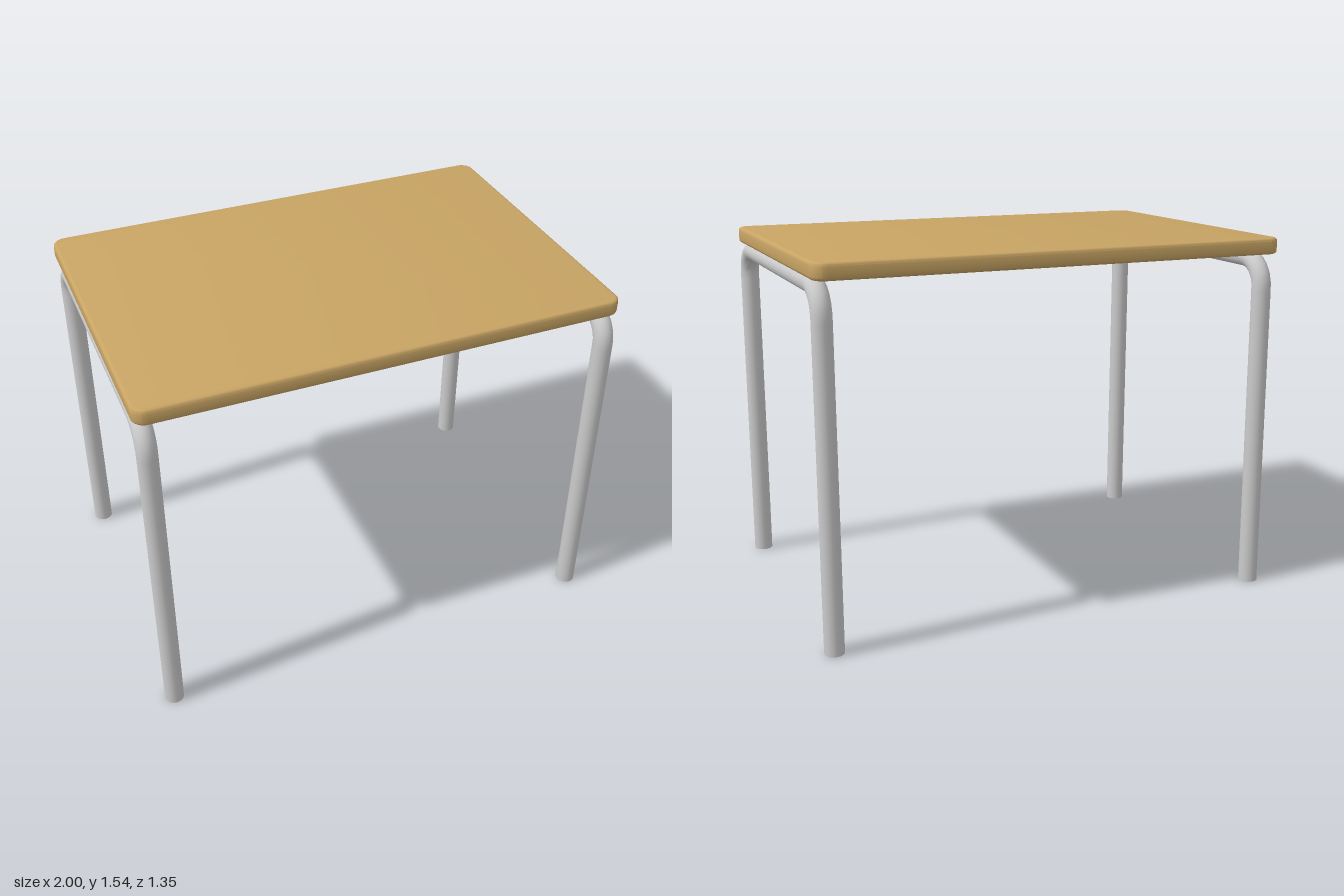
import * as THREE from 'three';
import { toCreasedNormals } from 'three/addons/utils/BufferGeometryUtils.js';

const metal = new THREE.MeshStandardMaterial({ color: 0xcccccc });
const wood = new THREE.MeshStandardMaterial({ color: 0xc8a464 });

const TUBE_R = 0.041, RAIL_Y = 1.437, BEND = 0.115;

// Rounded slab with softened edges
function createTop() {
  const bevel = 0.014, w = 1 - bevel, d = 0.673 - bevel, r = 0.04;
  const y0 = 1.467, y1 = 1.535;
  const s = new THREE.Shape();
  s.moveTo(-w + r, -d);
  s.lineTo(w - r, -d);
  s.absarc(w - r, -d + r, r, -Math.PI / 2, 0);
  s.lineTo(w, d - r);
  s.absarc(w - r, d - r, r, 0, Math.PI / 2);
  s.lineTo(-w + r, d);
  s.absarc(-w + r, d - r, r, Math.PI / 2, Math.PI);
  s.lineTo(-w, -d + r);
  s.absarc(-w + r, -d + r, r, Math.PI, Math.PI * 1.5);
  const geo = new THREE.ExtrudeGeometry(s, {
    depth: y1 - y0 - 2 * bevel, bevelThickness: bevel, bevelSize: bevel,
    bevelSegments: 3, curveSegments: 6,
  });
  geo.rotateX(-Math.PI / 2);
  geo.translate(0, y0 + bevel, 0);
  const top = new THREE.Mesh(toCreasedNormals(geo, 0.7), wood);
  top.name = 'tableTop';
  return top;
}

// One bent tube: front leg, rail under the top, slightly splayed back leg
function createLegFrame(name, x) {
  const P = (y, z) => new THREE.Vector3(x, y, z);
  const footF = P(0, 0.638), cornerF = P(RAIL_Y, 0.638);
  const footB = P(0, -0.615), cornerB = P(RAIL_Y, -0.6);
  const toward = (a, b, dist) => a.clone().add(b.clone().sub(a).setLength(dist));
  const bend = (from, corner, to) => new THREE.CubicBezierCurve3(
    from, from.clone().lerp(corner, 0.552), to.clone().lerp(corner, 0.552), to);

  const f1 = toward(cornerF, footF, BEND), f2 = toward(cornerF, cornerB, BEND);
  const b1 = toward(cornerB, cornerF, BEND), b2 = toward(cornerB, footB, BEND);
  const path = new THREE.CurvePath();
  path.add(new THREE.LineCurve3(footF, f1));
  path.add(bend(f1, cornerF, f2));
  path.add(new THREE.LineCurve3(f2, b1));
  path.add(bend(b1, cornerB, b2));
  path.add(new THREE.LineCurve3(b2, footB));

  const frame = new THREE.Group();
  frame.name = name;
  const tube = new THREE.Mesh(new THREE.TubeGeometry(path, 120, TUBE_R, 16), metal);
  tube.name = 'bentTube';
  frame.add(tube);

  // Closed ends of the feet
  for (const [label, foot] of [['frontFootCap', footF], ['backFootCap', footB]]) {
    const cap = new THREE.Mesh(new THREE.CircleGeometry(TUBE_R, 16), metal);
    cap.rotation.x = Math.PI / 2;
    cap.position.copy(foot);
    cap.name = label;
    frame.add(cap);
  }
  return frame;
}

export function createModel() {
  const table = new THREE.Group();
  table.name = 'table';
  table.add(createTop());
  table.add(createLegFrame('leftLegFrame', 0.957));
  table.add(createLegFrame('rightLegFrame', -0.957));
  return table;
}
